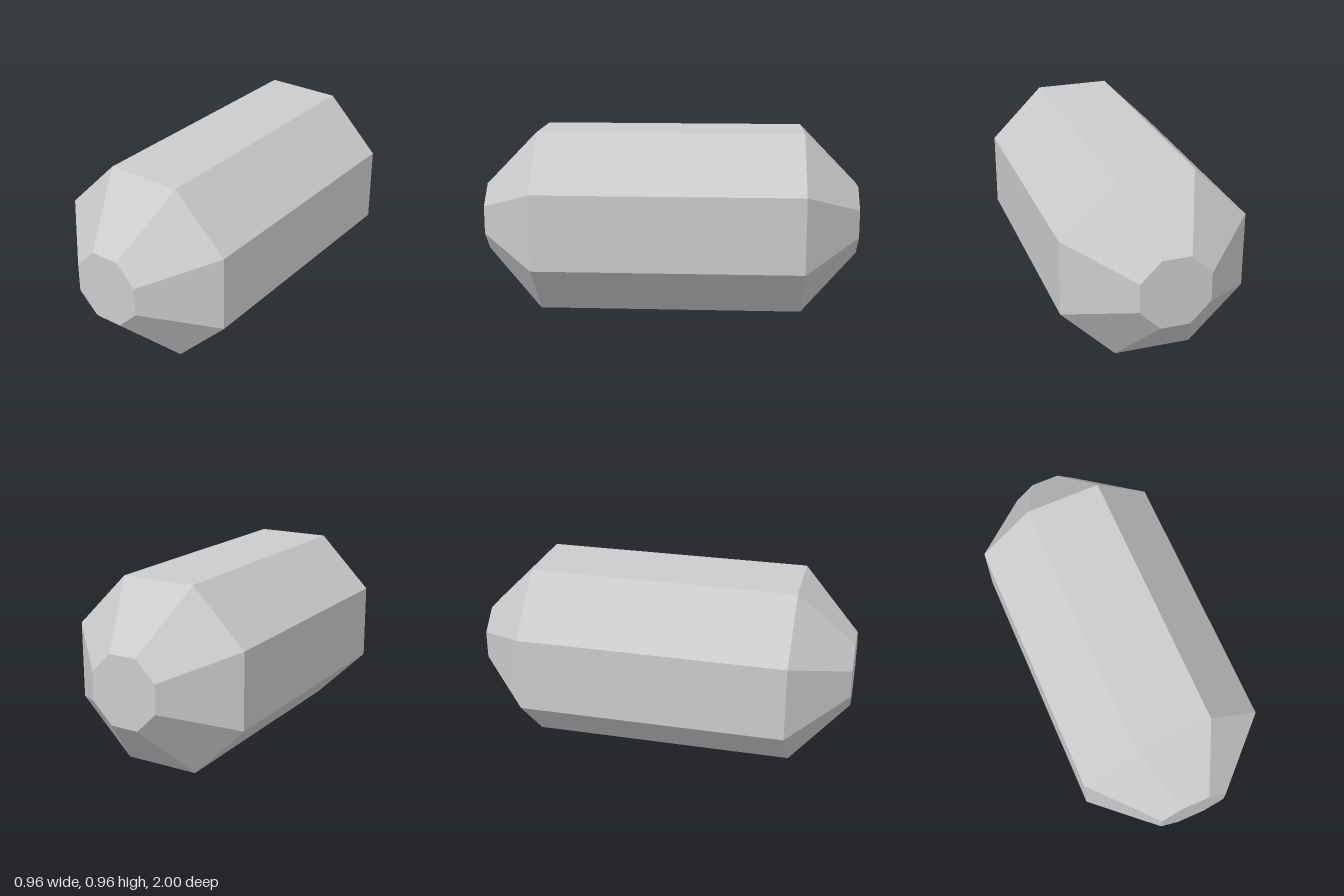
import * as THREE from 'three';

const SIDES = 8;
const BODY_APOTHEM = 0.48; // centre to flat side of the barrel
const TIP_APOTHEM = 0.18; // centre to flat side of the end faces
const BODY_HALF = 0.7;
const TIP_HALF = 1;

export function createModel() {
  const group = new THREE.Group();
  group.name = 'octagonalCapsule';

  const toRadius = (apothem) => apothem / Math.cos(Math.PI / SIDES);
  const bodyR = toRadius(BODY_APOTHEM);
  const tipR = toRadius(TIP_APOTHEM);

  // Half outline, from one flat end to the other
  const profile = [
    [0, -TIP_HALF],
    [tipR, -TIP_HALF],
    [bodyR, -BODY_HALF],
    [bodyR, BODY_HALF],
    [tipR, TIP_HALF],
    [0, TIP_HALF],
  ].map(([r, y]) => new THREE.Vector2(r, y));

  // Eight-sided barrel with tapered ends, lying along z on one flat side
  const geometry = new THREE.LatheGeometry(profile, SIDES);
  geometry.rotateY(Math.PI / SIDES);
  geometry.rotateX(Math.PI / 2);
  geometry.translate(0, BODY_APOTHEM, 0);

  const material = new THREE.MeshStandardMaterial({ color: 0xcccccc, flatShading: true });
  const barrel = new THREE.Mesh(geometry, material);
  barrel.name = 'barrel';
  group.add(barrel);

  return group;
}
